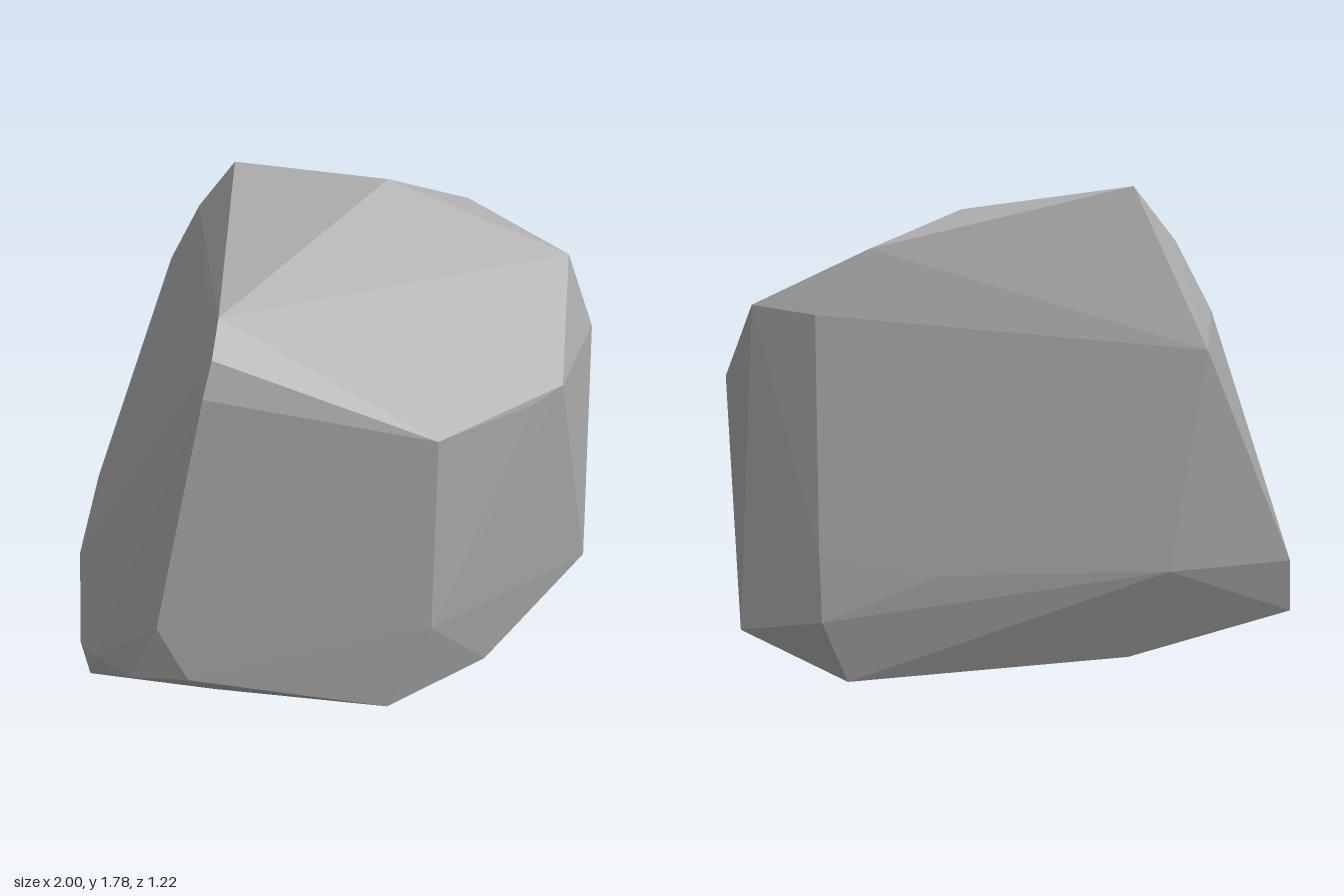
import * as THREE from 'three';
import { ConvexGeometry } from 'three/addons/geometries/ConvexGeometry.js';

// Corners of the chiselled boulder, grouped by the facet they bound.
const front = [
  [-0.36, 1.46, 0.51], [-0.39, 1.34, 0.555], [0.38, 1.15, 0.47], [0.38, 0.4, 0.49],
  [0.23, 0.05, 0.5], [-0.48, 0.23, 0.6], [-0.58, 0.46, 0.61], [-0.7, 0.2, 0.55],
];
const rightFlank = [
  [0.72, 1.13, 0.16], [0.83, 1.15, 0.05], [0.88, 1.43, -0.47], [0.98, 1.17, -0.4],
  [0.995, 0.28, -0.18], [0.98, 0.26, -0.45], [0.6, 0.05, 0.2],
];
const crown = [
  [-0.36, 1.78, -0.46], [0.2, 1.72, -0.46], [0.5, 1.62, -0.54],
  [-0.35, 1.54, 0.36], [-0.5, 1.6, -0.48],
];
const leftFlank = [
  [-0.62, 1.37, -0.52], [-0.96, 0.42, -0.48], [-1, 0.18, -0.4], [-0.96, 0.36, 0],
  [-0.91, 0.2, 0.35], [-0.84, 0.22, 0.46], [-0.88, 0.07, 0.37],
];
const back = [
  [0.62, 0.08, -0.54], [0.7, 0.35, -0.61], [0.7, 0.6, -0.61], [0.68, 1.42, -0.58],
  [0.3, 0.5, -0.61], [-0.6, 1.25, -0.575], [-0.5, 0.45, -0.575],
];
const base = [
  [-0.42, 0, 0.36], [0.3, 0.012, 0.3], [0.53, 0.015, 0], [0.45, 0.02, -0.35], [-0.4, 0.03, -0.4],
];

export function createModel() {
  const stone = new THREE.MeshStandardMaterial({ color: 0xa6a6a6, flatShading: true });
  stone.name = 'grey stone';

  // One convex, flat-faceted block
  const corners = [front, rightFlank, crown, leftFlank, back, base].flat();
  const rock = new THREE.Mesh(new ConvexGeometry(corners.map((p) => new THREE.Vector3(...p))), stone);
  rock.name = 'boulder';

  const group = new THREE.Group();
  group.name = 'rock';
  group.add(rock);
  return group;
}
